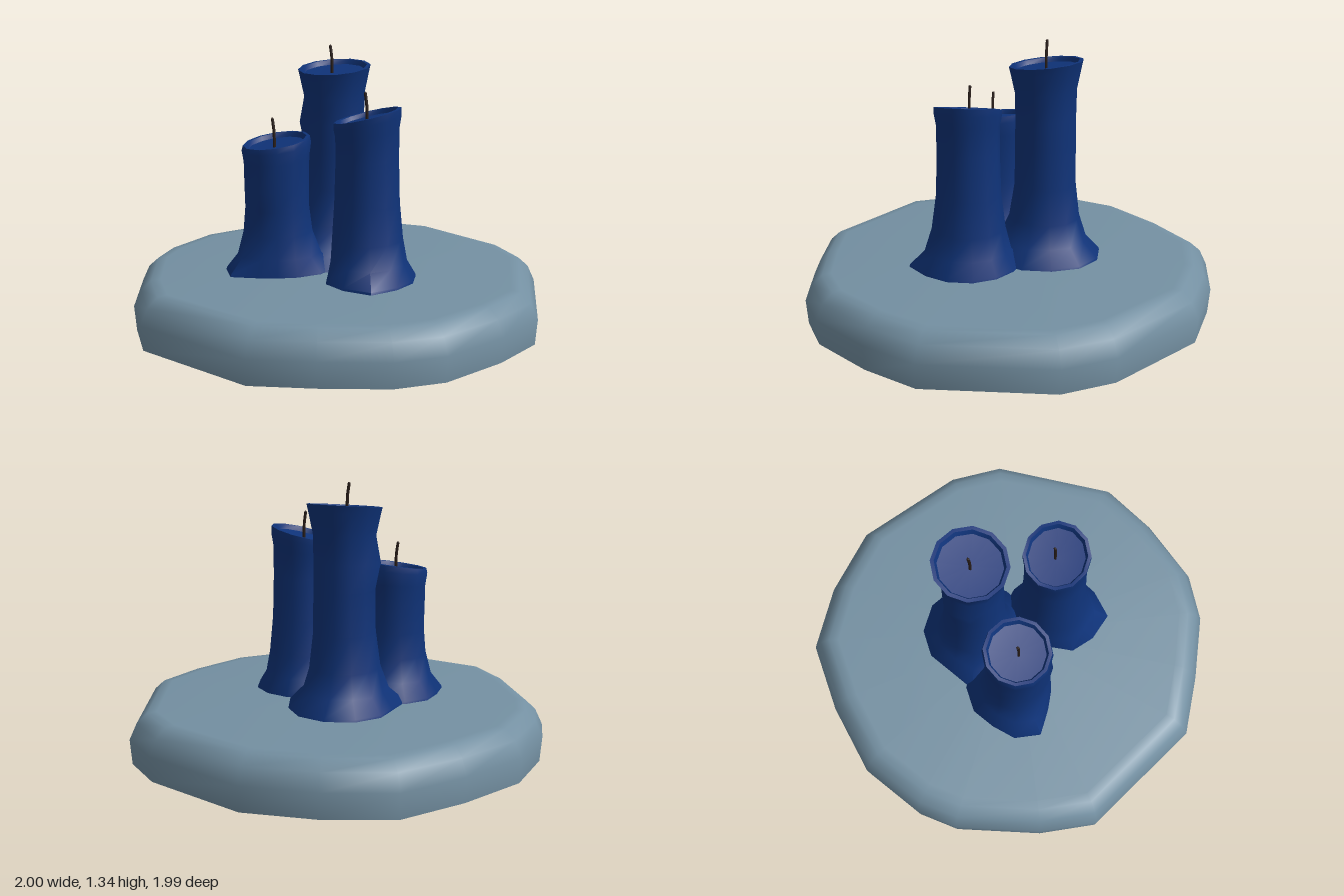
import * as THREE from 'three';
import { toCreasedNormals } from 'three/addons/utils/BufferGeometryUtils.js';

const stone = new THREE.MeshStandardMaterial({ color: 0x7490a2 });
stone.name = 'greyBlueStone';
const wax = new THREE.MeshStandardMaterial({ color: 0x0f3379 });
wax.name = 'blueWax';
const wickMat = new THREE.MeshStandardMaterial({ color: 0x2b1f1a });
wickMat.name = 'darkWick';

// Joins rings of [x, y, z] points from bottom to top and fans both ends to a centre point.
function loft(rings, bottom, top, crease) {
  const n = rings[0].length;
  const index = [];
  const low = rings.length * n;
  const high = low + 1;
  const last = (rings.length - 1) * n;
  for (let i = 0; i < n; i++) {
    const j = (i + 1) % n;
    for (let k = 0; k < rings.length - 1; k++) {
      const a = k * n;
      const b = a + n;
      index.push(a + i, b + i, a + j, b + i, b + j, a + j);
    }
    index.push(i, j, low, last + i, high, last + j);
  }
  const geo = new THREE.BufferGeometry();
  const points = [...rings.flat(), bottom, top].flat();
  geo.setAttribute('position', new THREE.Float32BufferAttribute(points, 3));
  geo.setIndex(index);
  return toCreasedNormals(geo, crease);
}

// Irregular rounded slab
function makeBase() {
  const outline = [
    [0.07, -1], [0.59, -0.8], [0.79, -0.62], [1, -0.04], [0.94, 0.25], [0.81, 0.57],
    [0.64, 0.74], [0.35, 0.88], [0.07, 0.99], [-0.56, 0.85], [-0.75, 0.64], [-0.96, 0.28],
    [-1, 0.08], [-0.97, -0.25], [-0.8, -0.57], [-0.59, -0.85], [-0.28, -0.96],
  ];
  const layers = [[0.04, 0.99], [0.16, 1], [0.235, 0.965], [0.28, 0.915], [0.284, 0.87]];
  const rings = layers.map(([y, s]) => outline.map(([x, z]) => [x * s, y, z * s]));
  const mesh = new THREE.Mesh(loft(rings, [0, 0, 0], [0, 0.295, 0], 1.15), stone);
  mesh.name = 'stoneBase';
  return mesh;
}

// Share of the melted foot that remains at a given height
function footAmount(y) {
  const steps = [[0.27, 1], [0.3, 0.95], [0.37, 0.4], [0.48, 0.13], [0.65, 0]];
  for (let i = 1; i < steps.length; i++) {
    const [y0, a] = steps[i - 1];
    const [y1, b] = steps[i];
    if (y <= y1) return a + (b - a) * (y - y0) / (y1 - y0);
  }
  return 0;
}

// Wax candle: shaft profile, slanted rim, sunken top and a spread foot
function makeCandle({ name, x, z, profile, foot, tilt, wick, bulge }) {
  const group = new THREE.Group();
  group.name = name;
  const n = foot.length;
  const topY = profile[profile.length - 1][0];
  const ring = (y, r) => foot.map((f, i) => {
    const a = i / n * Math.PI * 2;
    const k = footAmount(y);
    let rad = r + (f - r) * k;
    if (bulge && Math.abs(y - bulge.y) < 0.05 && bulge.sides.includes(i)) rad += bulge.size;
    const rise = (tilt[0] * Math.cos(a) + tilt[1] * Math.sin(a)) * Math.pow(Math.max(0, y - 0.29) / (topY - 0.29), 4);
    return [x + rad * Math.cos(a), y + rise, z + rad * Math.sin(a)];
  });
  const rings = profile.map(([y, r]) => ring(y, r));
  const rim = profile[profile.length - 1][1];
  rings.push(ring(topY, rim * 0.9), ring(topY - 0.022, rim * 0.84));
  const body = new THREE.Mesh(loft(rings, [x, 0.27, z], [x, topY - 0.03, z], 0.9), wax);
  body.name = name + 'Wax';

  // Slightly bent wick
  const [wx, wz, wy] = wick;
  const curve = new THREE.CatmullRomCurve3([
    new THREE.Vector3(wx + 0.005, topY - 0.05, wz),
    new THREE.Vector3(wx + 0.004, wy - 0.06, wz),
    new THREE.Vector3(wx - 0.004, wy, wz),
  ]);
  const thread = new THREE.Mesh(new THREE.TubeGeometry(curve, 6, 0.007, 6), wickMat);
  thread.name = name + 'Wick';
  const tip = new THREE.Mesh(new THREE.SphereGeometry(0.007, 6, 4), wickMat);
  tip.name = name + 'WickTip';
  tip.position.set(wx - 0.004, wy, wz);
  group.add(thread, tip, body);
  return group;
}

// Foot radii run in twelve steps from +x round through +z
const candles = [
  {
    name: 'tallCandle', x: -0.105, z: -0.165, tilt: [0.002, -0.02], wick: [-0.12, -0.16, 1.335],
    profile: [[0.27, 0.16], [0.3, 0.16], [0.37, 0.155], [0.48, 0.152], [0.65, 0.148], [0.85, 0.146],
      [0.97, 0.145], [1.1, 0.147], [1.2, 0.168], [1.235, 0.176]],
    foot: [0.28, 0.3, 0.33, 0.35, 0.35, 0.3, 0.24, 0.26, 0.275, 0.28, 0.28, 0.27],
    bulge: { y: 0.97, size: 0.025, sides: [5, 6] },
  },
  {
    name: 'shortCandle', x: -0.24, z: 0.17, tilt: [0.015, -0.02], wick: [-0.25, 0.18, 1.02],
    profile: [[0.27, 0.15], [0.3, 0.15], [0.37, 0.15], [0.48, 0.148], [0.6, 0.147], [0.7, 0.153],
      [0.83, 0.155], [0.89, 0.164], [0.918, 0.158]],
    foot: [0.24, 0.19, 0.17, 0.185, 0.26, 0.25, 0.225, 0.245, 0.26, 0.26, 0.28, 0.3],
    bulge: { y: 0.7, size: 0.015, sides: [2, 3] },
  },
  {
    name: 'middleCandle', x: 0.2, z: 0.095, tilt: [0.036, -0.01], wick: [0.19, 0.09, 1.16],
    profile: [[0.27, 0.16], [0.3, 0.16], [0.37, 0.16], [0.48, 0.16], [0.65, 0.153], [0.85, 0.147],
      [0.98, 0.148], [1.03, 0.157], [1.06, 0.156]],
    foot: [0.24, 0.25, 0.29, 0.25, 0.23, 0.185, 0.19, 0.24, 0.26, 0.235, 0.23, 0.235],
  },
];

export function createModel() {
  const model = new THREE.Group();
  model.name = 'candleCluster';
  model.add(makeBase());
  for (const spec of candles) model.add(makeCandle(spec));
  return model;
}
